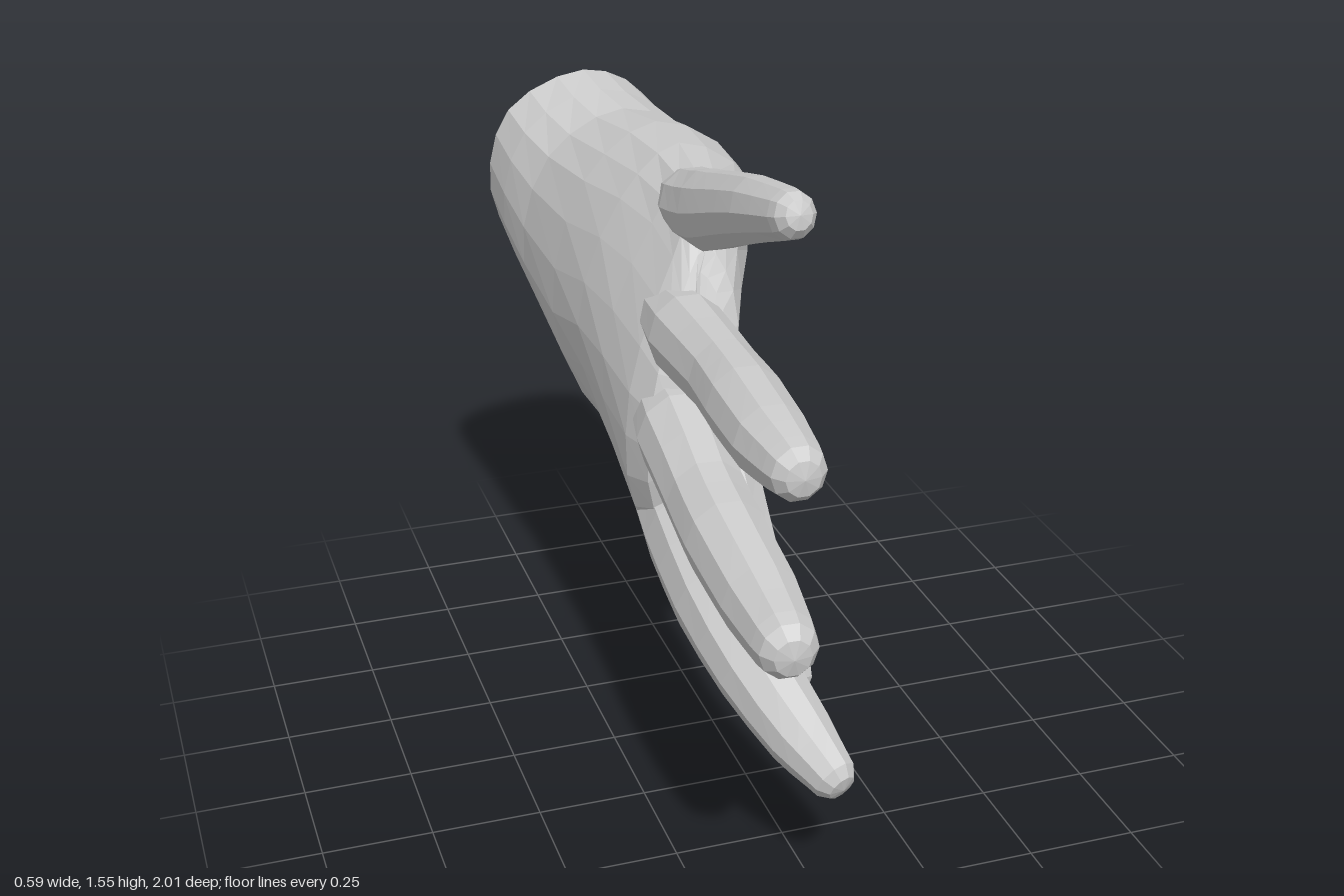
import * as THREE from 'three';

const material = new THREE.MeshStandardMaterial({ color: 0xcccccc, flatShading: true, side: THREE.DoubleSide });

// Skin a series of rings (arrays of Vector3, counter-clockwise about the path)
function loft(name, rings, endPoint) {
  const n = rings[0].length;
  const points = rings.flat();
  const index = [];
  for (let i = 0; i < rings.length - 1; i++) {
    for (let j = 0; j < n; j++) {
      const k = (j + 1) % n;
      const a = i * n + j, b = i * n + k, c = b + n, d = a + n;
      index.push(a, b, c, a, c, d);
    }
  }
  const last = (rings.length - 1) * n;
  for (let j = 0; j < n; j++) index.push(last + j, last + (j + 1) % n, points.length);
  points.push(endPoint);
  const geometry = new THREE.BufferGeometry().setFromPoints(points);
  geometry.setIndex(index);
  geometry.computeVertexNormals();
  const mesh = new THREE.Mesh(geometry, material);
  mesh.name = name;
  return mesh;
}

// Tapered digit along stations [x, y, z, radius across x, radius in the hand's plane]
function digit(name, stations, sides = 10) {
  const curve = new THREE.CatmullRomCurve3(stations.map(s => new THREE.Vector3(s[0], s[1], s[2])));
  const count = stations.length - 1;
  const steps = count * 2;
  const rings = [];
  const ring = (t, scale, push) => {
    const f = Math.min(t * count, count - 1e-6), i = Math.floor(f);
    const rx = THREE.MathUtils.lerp(stations[i][3], stations[i + 1][3], f - i) * scale;
    const ry = THREE.MathUtils.lerp(stations[i][4], stations[i + 1][4], f - i) * scale;
    const tangent = curve.getTangent(t);
    const v = new THREE.Vector3().crossVectors(tangent, new THREE.Vector3(1, 0, 0)).normalize();
    const u = new THREE.Vector3().crossVectors(v, tangent).normalize();
    const center = curve.getPoint(t).addScaledVector(tangent, push);
    rings.push(Array.from({ length: sides }, (_, j) => {
      const a = (j / sides) * Math.PI * 2;
      return center.clone().addScaledVector(u, Math.cos(a) * rx).addScaledVector(v, Math.sin(a) * ry);
    }));
  };
  for (let s = 0; s <= steps; s++) ring(s / steps, 1, 0);
  // rounded fingertip
  const r = stations[count][4];
  ring(1, 0.9, r * 0.5);
  ring(1, 0.58, r * 0.88);
  return loft(name, rings, curve.getPoint(1).addScaledVector(curve.getTangent(1), r));
}

// Palm section: top and bottom edge [x, y, z], z of the middle, x of back and palm faces from top to bottom,
// and how far the section leans back towards the palm side
function palmRing(top, bottom, midZ, back, front, lean = 0) {
  const at = (x, v) => {
    const bulge = midZ - (top[2] + bottom[2]) / 2;
    return new THREE.Vector3(x,
      THREE.MathUtils.lerp(top[1], bottom[1], v),
      THREE.MathUtils.lerp(top[2], bottom[2], v) + bulge * 4 * v * (1 - v) - lean * (x + 0.05));
  };
  const vs = [0.14, 0.5, 0.86];
  const control = [
    at(top[0], 0), ...vs.map((v, i) => at(back[i], v)),
    at(bottom[0], 1), ...vs.map((v, i) => at(front[i], v)).reverse()
  ];
  const curve = new THREE.CatmullRomCurve3(control, true);
  return Array.from({ length: 24 }, (_, i) => curve.getPoint(i / 24));
}

function createPalm() {
  const rings = [
    palmRing([-0.05, 1.41, -0.88], [-0.02, 0.80, -0.995], -0.95, [-0.25, -0.295, -0.18], [0.115, 0.16, 0.11], 0.14),
    palmRing([-0.04, 1.39, -0.76], [0.03, 0.705, -0.88], -0.83, [-0.235, -0.285, -0.15], [0.14, 0.155, 0.18], 0.07),
    palmRing([-0.02, 1.375, -0.63], [0.09, 0.58, -0.74], -0.70, [-0.205, -0.265, -0.11], [0.18, 0.18, 0.255]),
    palmRing([0.0, 1.40, -0.42], [0.13, 0.45, -0.58], -0.48, [-0.175, -0.25, -0.10], [0.21, 0.17, 0.275]),
    palmRing([0.0, 1.40, -0.24], [0.07, 0.53, -0.36], -0.28, [-0.14, -0.24, -0.14], [0.18, 0.11, 0.19]),
    palmRing([-0.01, 1.385, -0.10], [-0.06, 0.53, -0.14], -0.10, [-0.11, -0.23, -0.18], [0.12, 0.06, 0.06]),
    palmRing([-0.03, 1.34, 0.0], [-0.10, 0.52, 0.02], 0.06, [-0.10, -0.215, -0.20], [0.05, 0.03, -0.01]),
    palmRing([-0.03, 1.25, 0.05], [-0.10, 0.57, 0.10], 0.14, [-0.10, -0.19, -0.18], [0.02, 0.01, -0.03]),
    palmRing([-0.05, 1.20, 0.07], [-0.10, 0.63, 0.13], 0.16, [-0.08, -0.15, -0.14], [-0.01, -0.03, -0.06])
  ];
  return loft('palm', rings, new THREE.Vector3(-0.09, 0.93, 0.165));
}

export function createModel() {
  const hand = new THREE.Group();
  hand.name = 'hand';
  hand.add(
    createPalm(),
    digit('littleFinger', [
      [-0.01, 1.28, -0.25, 0.05, 0.05], [-0.02, 1.31, -0.07, 0.08, 0.085], [-0.032, 1.345, 0.08, 0.073, 0.092],
      [-0.035, 1.395, 0.23, 0.068, 0.082], [-0.037, 1.45, 0.40, 0.06, 0.071], [-0.03, 1.495, 0.57, 0.05, 0.053]
    ]),
    digit('ringFinger', [
      [-0.10, 1.08, -0.10, 0.06, 0.06], [-0.10, 1.08, 0.13, 0.09, 0.098], [-0.105, 1.09, 0.40, 0.08, 0.088],
      [-0.115, 1.097, 0.56, 0.085, 0.088], [-0.125, 1.097, 0.74, 0.08, 0.081], [-0.125, 1.097, 0.86, 0.064, 0.066]
    ]),
    digit('middleFinger', [
      [-0.12, 0.89, -0.10, 0.06, 0.07], [-0.13, 0.865, 0.17, 0.10, 0.108], [-0.145, 0.815, 0.40, 0.09, 0.1],
      [-0.155, 0.797, 0.56, 0.09, 0.098], [-0.158, 0.77, 0.78, 0.084, 0.086], [-0.165, 0.762, 0.93, 0.068, 0.071]
    ]),
    digit('indexFinger', [
      [-0.09, 0.68, -0.20, 0.06, 0.06], [-0.09, 0.645, -0.04, 0.10, 0.11], [-0.095, 0.595, 0.12, 0.105, 0.125],
      [-0.095, 0.52, 0.31, 0.098, 0.115], [-0.06, 0.425, 0.48, 0.09, 0.1], [-0.01, 0.335, 0.63, 0.074, 0.082],
      [0.02, 0.295, 0.71, 0.056, 0.062]
    ]),
    digit('thumb', [
      [0.12, 0.63, -0.63, 0.04, 0.04], [0.135, 0.525, -0.515, 0.135, 0.135],
      [0.145, 0.43, -0.40, 0.115, 0.148], [0.165, 0.29, -0.265, 0.10, 0.108], [0.187, 0.18, -0.13, 0.107, 0.106],
      [0.20, 0.075, -0.045, 0.076, 0.076]
    ])
  );
  return hand;
}
